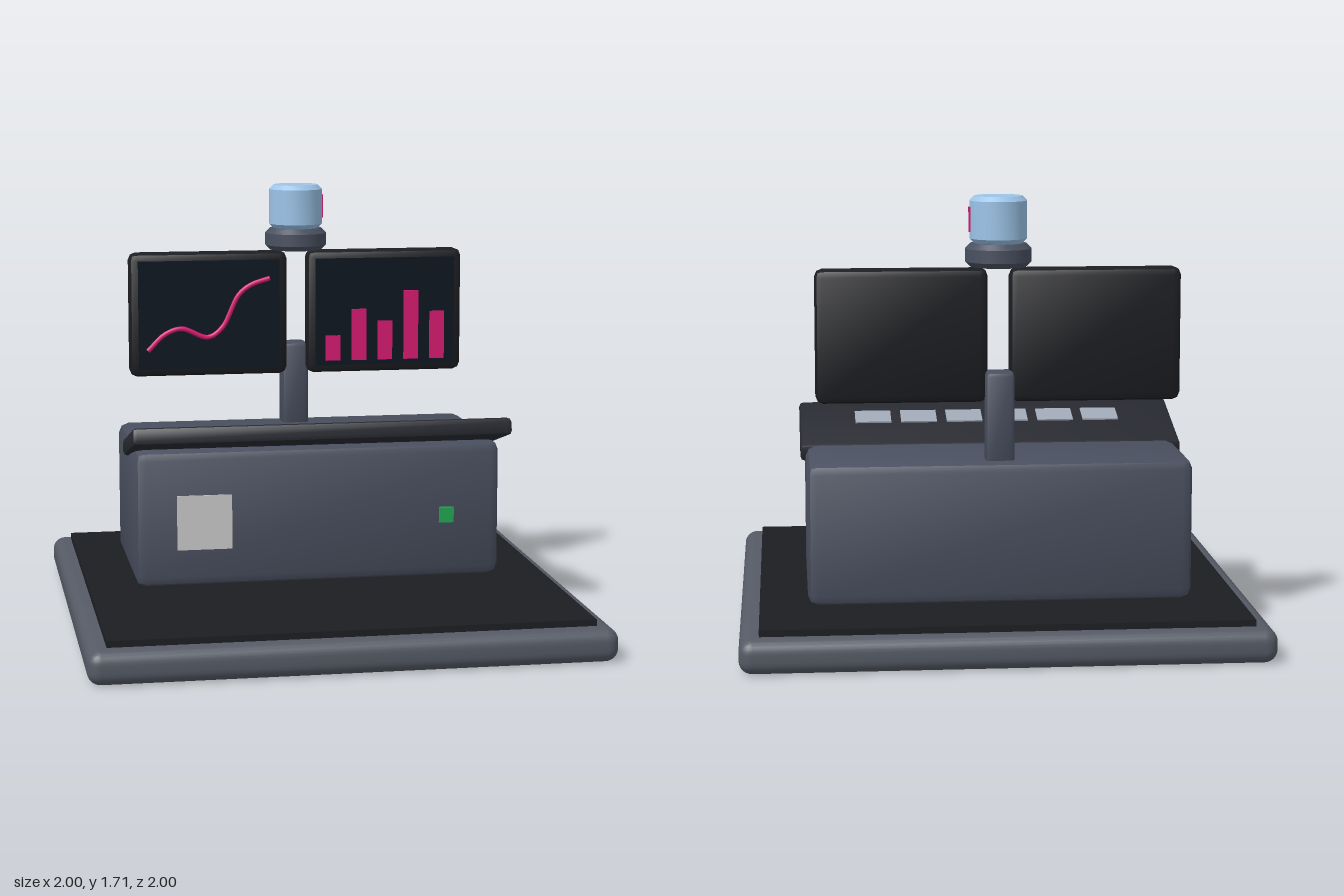
import * as THREE from 'three';
import { RoundedBoxGeometry } from 'three/addons/geometries/RoundedBoxGeometry.js';
import { toCreasedNormals } from 'three/addons/utils/BufferGeometryUtils.js';

const paint = (color) => new THREE.MeshStandardMaterial({ color });

export function createModel() {
  const model = new THREE.Group();
  const slate = paint(0x4a5060), stone = paint(0x555a65), black = paint(0x1d1e22);
  const charcoal = paint(0x282a31), glass = paint(0x0c1620), pink = paint(0xd81b72);
  const green = paint(0x22a855), blue = paint(0x9cc4e8), keyGrey = paint(0xa0a8b6);
  const grey = paint(0xcccccc);

  const add = (name, geometry, material, x, y, z, parent = model) => {
    const mesh = new THREE.Mesh(geometry, material);
    mesh.name = name;
    mesh.position.set(x, y, z);
    parent.add(mesh);
    return mesh;
  };
  const box = (w, h, d) => new THREE.BoxGeometry(w, h, d);
  const chamferBox = (w, h, d, r, segments = 1) =>
    toCreasedNormals(new RoundedBoxGeometry(w, h, d, segments, r), 0.6);

  // Floor platform and mat
  add('platform', chamferBox(2, 0.13, 2, 0.05, 4), stone, 0, 0.065, 0);
  add('floorMat', box(1.85, 0.035, 1.85), black, 0, 0.1375, 0);

  // Cabinet with front plate and button
  add('cabinet', chamferBox(1.48, 0.55, 0.74, 0.04), slate, 0, 0.43, -0.22);
  add('frontPlate', box(0.22, 0.22, 0.008), grey, -0.465, 0.415, 0.15);
  add('powerButton', box(0.058, 0.062, 0.03), green, 0.517, 0.413, 0.152);

  // Tilted control desk with a row of keys
  const desk = new THREE.Group();
  desk.name = 'controlDesk';
  desk.position.set(0, 0.73, 0.055);
  desk.rotation.x = -0.27;
  model.add(desk);
  add('deskTop', chamferBox(1.52, 0.07, 0.44, 0.018), charcoal, 0, 0, 0, desk);
  for (let i = 0; i < 6; i++) {
    add('key', box(0.145, 0.012, 0.108), keyGrey, (i - 2.5) * 0.185, 0.035, 0.045, desk);
  }

  // Post behind the monitors
  add('post', chamferBox(0.11, 0.36, 0.11, 0.018), slate, 0, 0.865, -0.495);

  // Two monitors
  for (const side of [-1, 1]) {
    const monitor = new THREE.Group();
    monitor.name = side < 0 ? 'rightMonitor' : 'leftMonitor';
    monitor.position.set(side * 0.372, 1.178, -0.442);
    model.add(monitor);
    add('casing', chamferBox(0.66, 0.515, 0.095, 0.03), black, 0, 0, 0, monitor);
    add('screen', box(0.59, 0.45, 0.02), glass, 0, 0, 0.05, monitor);
  }

  // Bar chart
  [1.08, 1.19, 1.138, 1.265, 1.175].forEach((top, i) => {
    add('chartBar', box(0.061, top - 0.975, 0.018), pink, 0.147 + i * 0.1112, (top + 0.975) / 2, -0.378);
  });

  // Line chart
  const line = new THREE.CatmullRomCurve3([
    [-0.63, 1.033], [-0.56, 1.1], [-0.49, 1.123], [-0.38, 1.085],
    [-0.32, 1.125], [-0.25, 1.26], [-0.2, 1.3], [-0.12, 1.327],
  ].map(([x, y]) => new THREE.Vector3(x, y, -0.375)));
  add('chartLine', new THREE.TubeGeometry(line, 40, 0.01, 8), pink, 0, 0, 0);

  // Beacon: chamfered collar, lamp and side marker
  const turned = (radius, height, bevel) => {
    const profile = [
      [0, 0], [radius - bevel, 0], [radius, bevel],
      [radius, height - bevel], [radius - bevel, height], [0, height],
    ].map(([r, y]) => new THREE.Vector2(r, y));
    return toCreasedNormals(new THREE.LatheGeometry(profile, 32), 0.5);
  };
  add('beaconCollar', turned(0.127, 0.09, 0.02), slate, 0, 1.44, -0.442);
  add('beaconLamp', turned(0.11, 0.18, 0.018), blue, 0, 1.53, -0.442);
  add('beaconMarker', box(0.012, 0.095, 0.04), pink, 0.107, 1.62, -0.442);

  return model;
}
